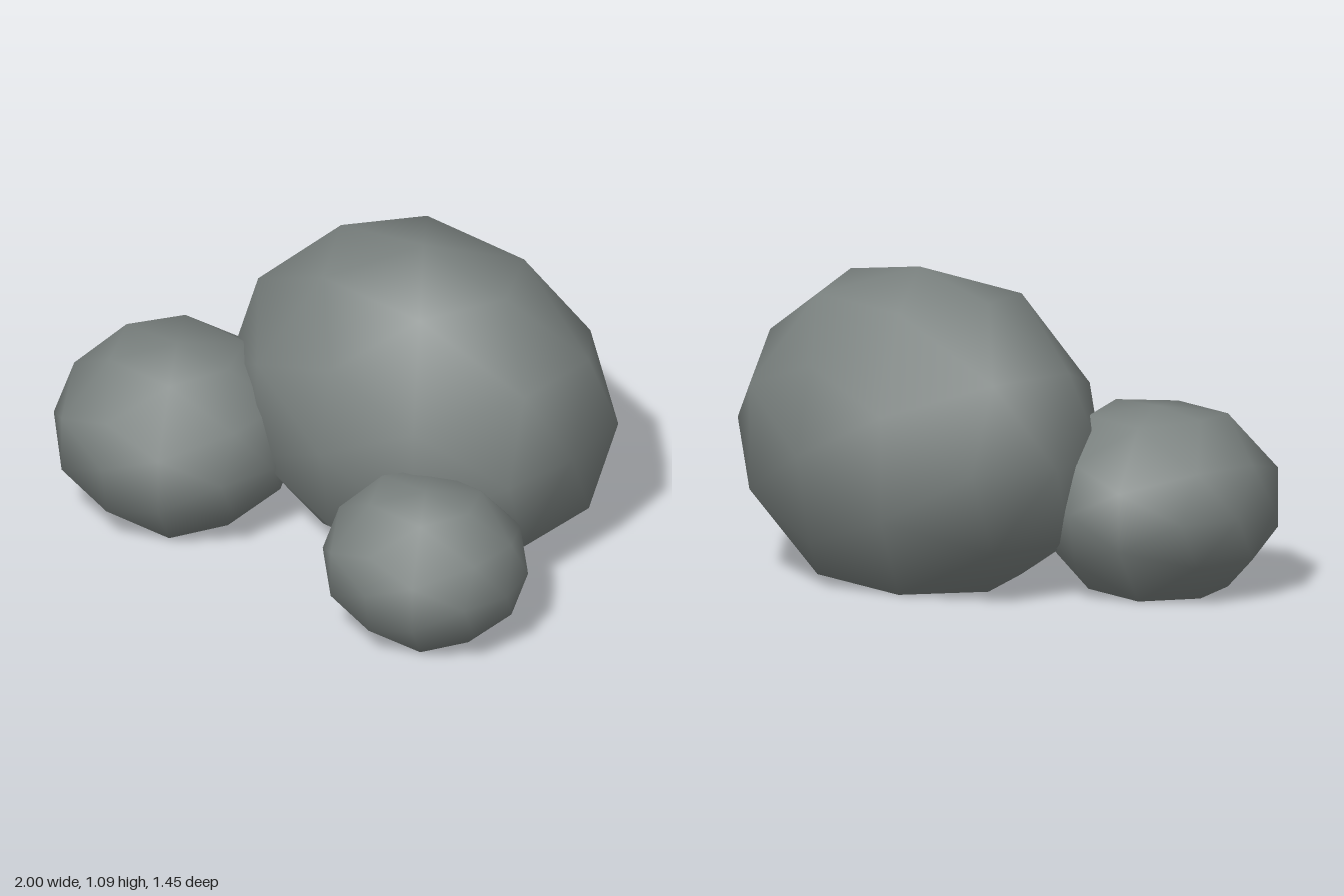
import * as THREE from 'three';
import { mergeVertices } from 'three/addons/utils/BufferGeometryUtils.js';

const stone = new THREE.MeshStandardMaterial({ color: 0x7b8280 });
stone.name = 'greyStone';

// A faceted boulder: stretched icosphere with fuller shoulders and a flat base.
// bulge widens the ring just short of each axis tip; tipShift slides the two x tips.
function boulder(name, centre, radius, bulge, tipShift = 0) {
  let geo = new THREE.IcosahedronGeometry(1, 1);
  geo.deleteAttribute('uv');
  geo.deleteAttribute('normal');
  geo = mergeVertices(geo, 1e-3);

  const pos = geo.attributes.position;
  for (let i = 0; i < pos.count; i++) {
    const dir = pos.getX(i);
    const p = [dir, pos.getY(i), pos.getZ(i)].map((c, k) => {
      const a = Math.abs(c);
      return centre[k] + c * radius[k] * (a > 0.8 && a < 0.95 ? bulge[k] : 1);
    });
    if (Math.abs(dir) > 0.99) p[0] += tipShift;
    if (p[1] < 0.02) p[1] = 0; // sits flat on the ground
    pos.setXYZ(i, ...p);
  }
  geo.computeVertexNormals();

  const mesh = new THREE.Mesh(geo, stone);
  mesh.name = name;
  return mesh;
}

export function createModel() {
  const group = new THREE.Group();
  group.name = 'boulders';
  group.add(
    boulder('largeBoulder', [0.14, 0.49, -0.175], [0.72, 0.6, 0.55], [1.05, 1.04, 1.05], -0.035),
    boulder('mediumBoulder', [-0.556, 0.31, 0.325], [0.443, 0.335, 0.4], [1.02, 1.12, 1.1]),
    boulder('smallBoulder', [0.623, 0.252, 0.37], [0.375, 0.28, 0.32], [1.02, 1.12, 1.1])
  );
  return group;
}
